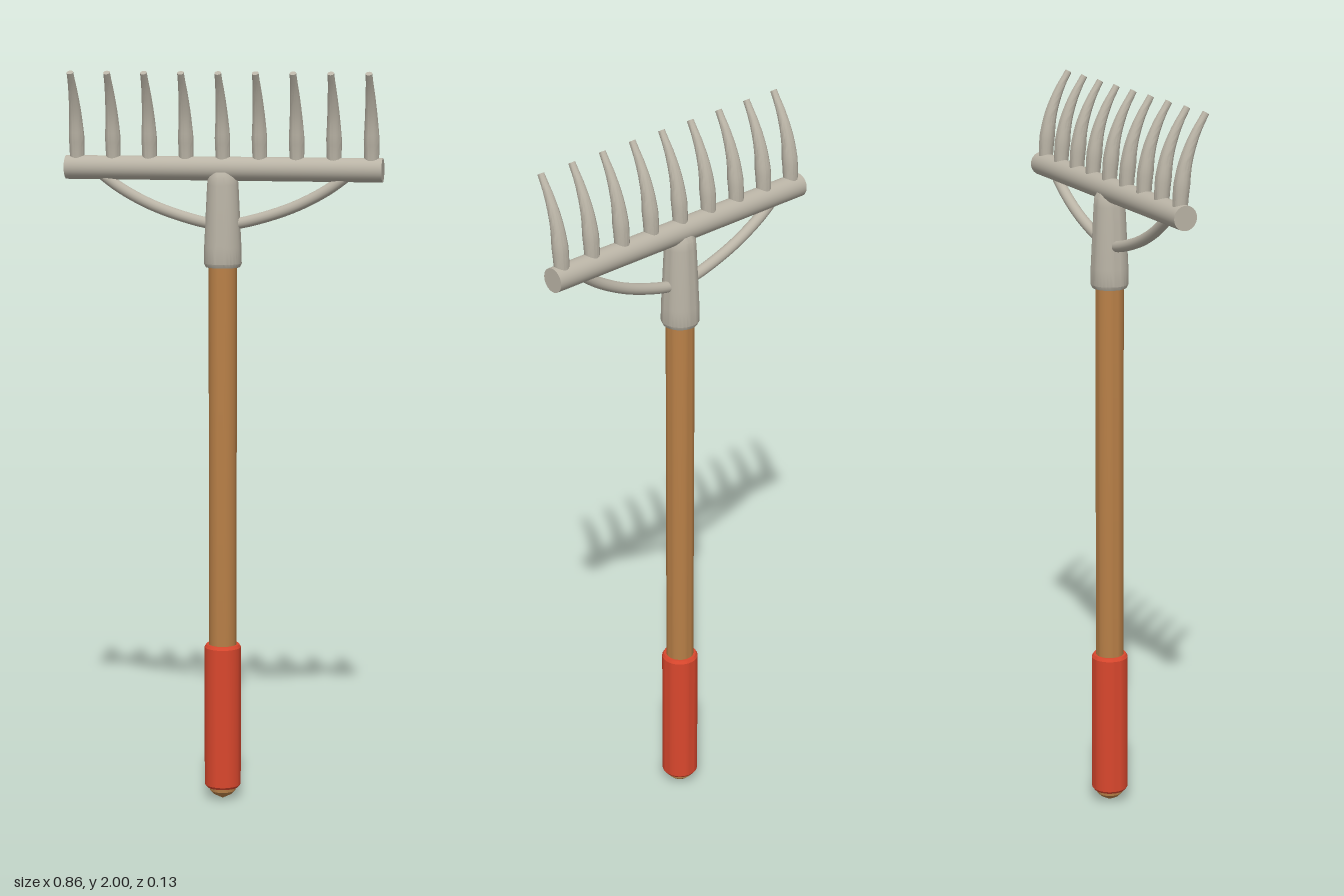
import * as THREE from 'three';
import { toCreasedNormals } from 'three/addons/utils/BufferGeometryUtils.js';

const AXIS_Z = -0.014; // shared centre line of handle, socket and bar

function material(name, color) {
  const m = new THREE.MeshStandardMaterial({ color });
  m.name = name;
  return m;
}

function mesh(name, geometry, mat) {
  const m = new THREE.Mesh(geometry, mat);
  m.name = name;
  return m;
}

// Turned part from [radius, y] pairs, bottom to top, with crisp bevels
function turned(name, profile, mat) {
  const points = profile.map(([r, y]) => new THREE.Vector2(r, y));
  const m = mesh(name, toCreasedNormals(new THREE.LatheGeometry(points, 32), 0.5), mat);
  m.position.z = AXIS_Z;
  return m;
}

// Tapered tooth: a tube whose rings are scaled, the last one closing the tip
function toothGeometry() {
  const curve = new THREE.CatmullRomCurve3([
    new THREE.Vector3(0, 1.745, -0.015),
    new THREE.Vector3(0, 1.81, -0.011),
    new THREE.Vector3(0, 1.88, 0.001),
    new THREE.Vector3(0, 1.945, 0.026),
    new THREE.Vector3(0, 1.997, 0.056),
  ]);
  const rings = 20, sides = 16;
  const geo = new THREE.TubeGeometry(curve, rings, 1, sides);
  const pos = geo.attributes.position;
  const v = new THREE.Vector3();
  for (let i = 0; i <= rings; i++) {
    const u = i / rings;
    const from = curve.getPointAt(u);
    const centre = i === rings ? curve.getPointAt((rings - 1) / rings) : from;
    if (i === rings - 1) centre.copy(curve.getPointAt(1));
    if (i === rings) centre.copy(curve.getPointAt(1));
    const t = Math.max(0, (u - 0.3) / 0.65);
    const radius = i === rings ? 0 : u < 0.3 ? 0.019 + 0.007 * u : 0.021 - 0.012 * t;
    for (let j = 0; j <= sides; j++) {
      const k = i * (sides + 1) + j;
      v.fromBufferAttribute(pos, k).sub(from).multiplyScalar(radius).add(centre);
      pos.setXYZ(k, v.x, v.y, v.z);
    }
  }
  return toCreasedNormals(geo, 0.7);
}

export function createModel() {
  const metal = material('grey metal', 0xbab4a6);
  const wood = material('wood', 0xba8148);
  const red = material('red grip', 0xd9472d);

  const rake = new THREE.Group();
  rake.name = 'rake';

  // Wooden handle with a rounded butt
  rake.add(turned('handle', [
    [0, 0], [0.012, 0.006], [0.026, 0.014], [0.036, 0.024], [0.038, 0.04], [0.038, 1.55],
  ], wood));

  // Grip sleeve
  rake.add(turned('grip', [
    [0.034, 0.035], [0.045, 0.035], [0.05, 0.042], [0.05, 0.432], [0.045, 0.44], [0.034, 0.44],
  ], red));

  // Tapered socket joining handle and bar
  rake.add(turned('socket', [
    [0.036, 1.48], [0.046, 1.48], [0.051, 1.49], [0.05, 1.535], [0.042, 1.7],
    [0.04, 1.722], [0.033, 1.735], [0, 1.735],
  ], metal));

  // Cross bar
  const bar = mesh('crossBar', new THREE.CylinderGeometry(0.032, 0.032, 0.86, 32), metal);
  bar.rotation.z = Math.PI / 2;
  bar.position.set(0, 1.743, AXIS_Z);
  rake.add(bar);

  // Curved braces from socket to bar
  for (const side of [-1, 1]) {
    const curve = new THREE.CatmullRomCurve3([
      [0, 1.59], [0.08, 1.606], [0.19, 1.642], [0.28, 1.688], [0.345, 1.735],
    ].map(([x, y]) => new THREE.Vector3(side * x, y, AXIS_Z)));
    rake.add(mesh(side > 0 ? 'leftBrace' : 'rightBrace',
      new THREE.TubeGeometry(curve, 24, 0.015, 16), metal));
  }

  // Row of nine curved teeth
  const teeth = new THREE.Group();
  teeth.name = 'teeth';
  const geo = toothGeometry();
  for (let i = -4; i <= 4; i++) {
    const tooth = mesh('tooth', geo, metal);
    tooth.position.x = i * 0.1;
    teeth.add(tooth);
  }
  rake.add(teeth);

  return rake;
}
